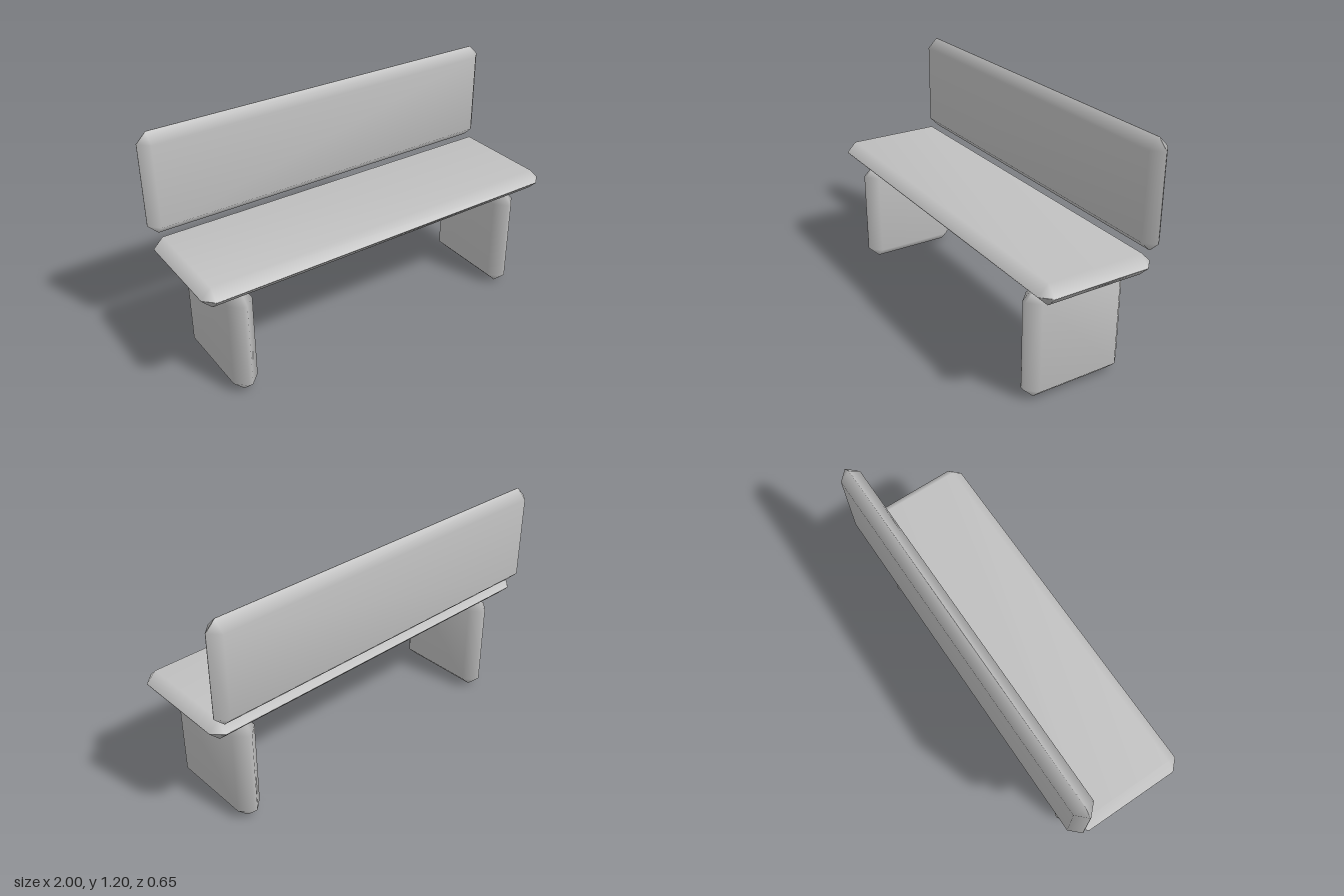
import * as THREE from 'three';

// Box with every edge cut at 45 degrees and smooth shared normals
function chamferBox(size, cut) {
  const half = size.map((s) => s / 2);
  const pos = [], index = [];
  const point = (i) => new THREE.Vector3().fromArray(pos, i * 3);

  // three vertices per corner, one on each adjoining face
  for (let corner = 0; corner < 8; corner++) {
    for (let axis = 0; axis < 3; axis++) {
      for (let k = 0; k < 3; k++) {
        const sign = (corner >> k) & 1 ? 1 : -1;
        pos.push(sign * (half[k] - (k === axis ? 0 : cut)));
      }
    }
  }
  // add a triangle, turned to face away from the centre
  const tri = (a, b, c) => {
    const [A, B, C] = [a, b, c].map(point);
    const n = B.clone().sub(A).cross(C.clone().sub(A));
    if (n.dot(A.add(B).add(C)) < 0) index.push(a, c, b);
    else index.push(a, b, c);
  };
  const quad = (a, b, c, d) => { tri(a, b, c); tri(a, c, d); };
  const id = (corner, axis) => corner * 3 + axis;

  for (let a = 0; a < 3; a++) {
    const b = (a + 1) % 3, c = (a + 2) % 3;
    const A = 1 << a, B = 1 << b, C = 1 << c;
    // main faces
    for (const s of [0, A]) quad(id(s, a), id(s | B, a), id(s | B | C, a), id(s | C, a));
    // edge cuts running along axis a
    for (const s of [0, B, C, B | C]) quad(id(s, b), id(s | A, b), id(s | A, c), id(s, c));
  }
  // corner cuts
  for (let corner = 0; corner < 8; corner++) tri(id(corner, 0), id(corner, 1), id(corner, 2));

  const geo = new THREE.BufferGeometry();
  geo.setAttribute('position', new THREE.Float32BufferAttribute(pos, 3));
  geo.setIndex(index);
  geo.computeVertexNormals();
  return geo;
}

export function createModel() {
  const bench = new THREE.Group();
  bench.name = 'bench';
  const grey = new THREE.MeshStandardMaterial({ color: 0xc0c0c0 });
  grey.name = 'light grey';

  const slab = (name, size, cut, x, y, z) => {
    const mesh = new THREE.Mesh(chamferBox(size, cut), grey);
    mesh.name = name;
    mesh.position.set(x, y, z);
    bench.add(mesh);
  };

  slab('seat', [2, 0.106, 0.6], 0.051, 0, 0.616, 0.025);
  slab('backrest', [2, 0.53, 0.106], 0.051, 0, 0.935, -0.27);
  slab('leftLeg', [0.13, 0.564, 0.534], 0.055, 0.8, 0.282, 0.025);
  slab('rightLeg', [0.13, 0.564, 0.534], 0.055, -0.8, 0.282, 0.025);
  return bench;
}
